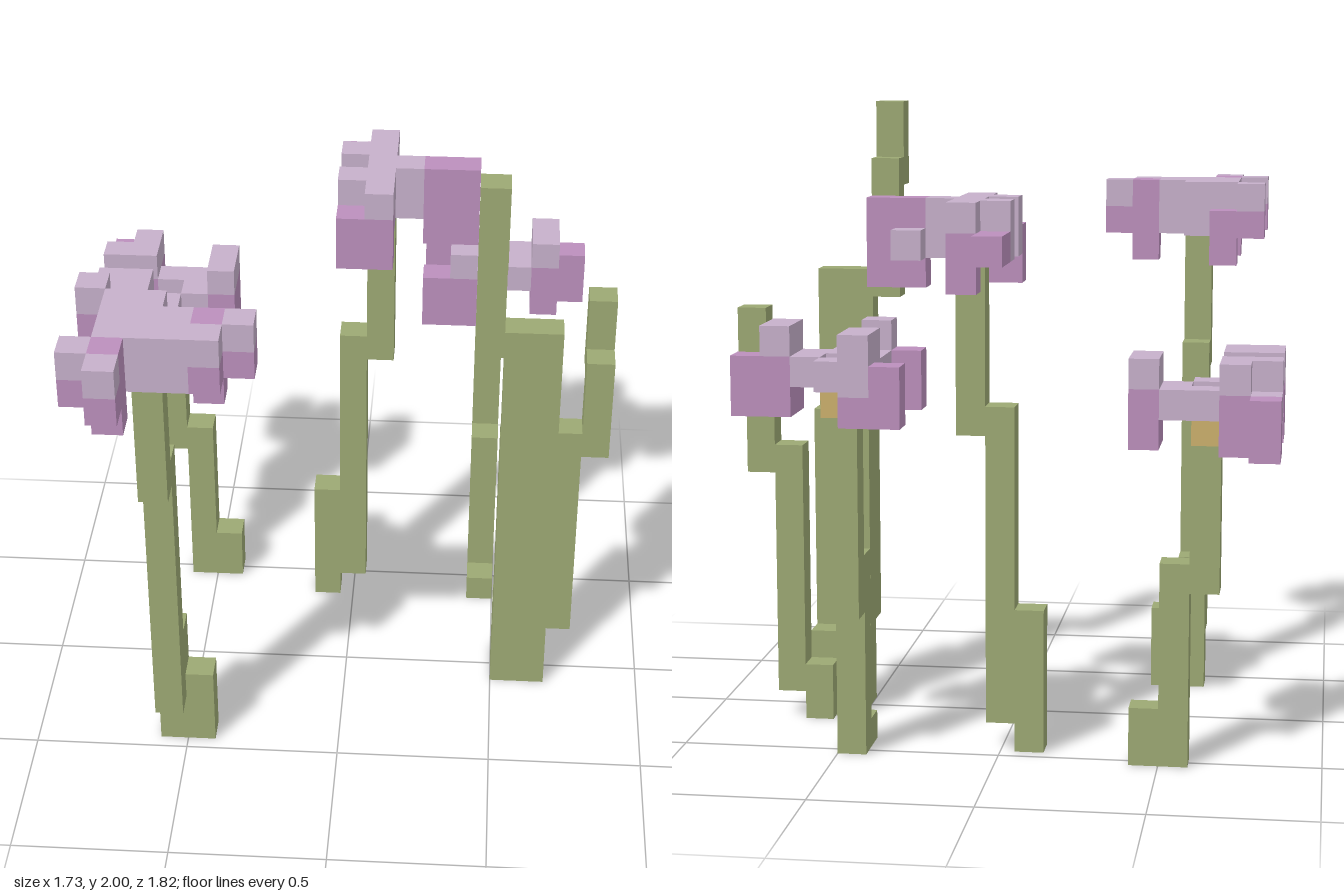
import * as THREE from 'three';
import { mergeGeometries } from 'three/addons/utils/BufferGeometryUtils.js';

const U = 1 / 11; // edge of one cube cell

const materials = {
  stemGreen: new THREE.MeshStandardMaterial({ color: 0x9ca873 }),
  paleMauve: new THREE.MeshStandardMaterial({ color: 0xc6b0ca }),
  deepPink: new THREE.MeshStandardMaterial({ color: 0xbb8fbc }),
  pollenYellow: new THREE.MeshStandardMaterial({ color: 0xcbb06c }),
};
for (const key in materials) materials[key].name = key;

// Box between grid cells: x0, x1, y0, y1, z0, z1
function cellBox([x0, x1, y0, y1, z0, z1]) {
  const g = new THREE.BoxGeometry((x1 - x0) * U, (y1 - y0) * U, (z1 - z0) * U);
  return g.translate(((x0 + x1) / 2 - 9.5) * U, ((y0 + y1) / 2) * U, ((z0 + z1) / 2 - 10) * U);
}

function part(name, material, boxes) {
  const mesh = new THREE.Mesh(mergeGeometries(boxes.map(cellBox)), material);
  mesh.name = name;
  return mesh;
}

// Petal tips are pale above the split height and pink below: x0, x1, z0, z1, bottom, split, top
function plant(name, { stem, pale = [], pink = [], tips = [], heart = [] }) {
  const group = new THREE.Group();
  group.name = name;
  const upper = tips.map(([x0, x1, z0, z1, b, s, t]) => [x0, x1, s, t, z0, z1]);
  const lower = tips.map(([x0, x1, z0, z1, b, s]) => [x0, x1, b, s, z0, z1]);
  group.add(part('stem', materials.stemGreen, stem));
  if (pale.length + upper.length) group.add(part('palePetals', materials.paleMauve, [...pale, ...upper]));
  if (pink.length + lower.length) group.add(part('pinkPetals', materials.deepPink, [...pink, ...lower]));
  if (heart.length) group.add(part('flowerHeart', materials.pollenYellow, heart));
  return group;
}

export function createModel() {
  const model = new THREE.Group();
  model.name = 'flowerPatch';

  model.add(plant('frontRightFlower', {
    stem: [
      [4, 5, 0, 3, 14, 15], [3, 4, 0, 5, 14, 15],
      [3, 4, 2, 13, 15, 16], [3, 4, 12, 17, 16, 17],
    ],
    pale: [[2, 4, 17, 19, 15, 18], [4, 5, 17, 19, 16, 18]],
    pink: [[2, 3, 16, 18, 14, 15], [2, 3, 16, 19, 18, 19], [5, 6, 16, 19, 16, 17]],
    tips: [
      [1, 2, 14, 15, 17, 18, 19], [1, 2, 18, 19, 17, 18, 19], [2, 3, 19, 20, 17, 18, 19],
      [5, 6, 17, 18, 17, 18, 19], [6, 7, 16, 17, 17, 18, 19],
    ],
  }));

  model.add(plant('backRightFlower', {
    stem: [[4, 5, 0, 2, 4, 5], [3, 4, 0, 7, 4, 5], [2, 3, 6, 11, 4, 5]],
    pale: [[2, 4, 12, 13, 3, 4], [3, 4, 12, 13, 4, 5], [2, 3, 11, 13, 5, 6]],
    pink: [[0, 1, 11, 13, 1, 2]],
    tips: [
      [0, 2, 5, 7, 11, 13, 14], [4, 5, 3, 5, 11, 13, 14],
      [0, 1, 2, 3, 11, 12, 13], [1, 2, 2, 3, 11, 13, 14], [0, 2, 3, 4, 12, 13, 14],
    ],
    heart: [[2, 3, 11, 12, 4, 5]],
  }));

  model.add(plant('middleFlower', {
    stem: [[8, 9, 0, 5, 5, 6], [9, 10, 1, 12, 5, 6], [10, 11, 11, 17, 5, 6]],
    pale: [
      [10, 11, 17, 19, 4, 7], [11, 12, 17, 19, 5, 6], [12, 13, 17, 18, 4, 5],
      [9, 10, 17, 19, 4, 5], [9, 10, 17, 19, 6, 7],
    ],
    pink: [[12, 14, 16, 19, 5, 6], [9, 10, 16, 18, 7, 8], [9, 10, 17, 18, 2, 4]],
    tips: [[10, 11, 7, 8, 16, 18, 19], [10, 11, 3, 4, 16, 18, 19]],
  }));

  model.add(plant('backLeftFlower', {
    stem: [[14, 15, 0, 1, 5, 6], [14, 15, 0, 7, 4, 5], [14, 15, 5, 13, 3, 4]],
    pale: [
      [13, 14, 13, 14, 2, 4], [15, 16, 13, 14, 2, 4], [14, 15, 13, 14, 3, 4],
      [14, 15, 13, 14, 1, 2], [14, 15, 12, 14, 4, 5],
    ],
    pink: [[12, 13, 12, 14, 0, 1], [12, 13, 12, 14, 4, 5], [17, 18, 12, 14, 2, 3]],
    tips: [[13, 14, 0, 2, 12, 13, 15], [13, 14, 4, 5, 12, 14, 15], [16, 17, 2, 4, 12, 14, 15]],
    heart: [[14, 15, 12, 13, 2, 3]],
  }));

  // Bare stalk with two rising shoots
  model.add(plant('bareStalk', {
    stem: [
      [15, 17, 0, 11, 10, 11], [15, 16, 3, 16, 11, 12], [16, 17, 10, 16, 11, 12],
      [14, 15, 15, 20, 11, 12], [14, 15, 19, 22, 12, 13],
      [15, 17, 0, 3, 9, 10], [16, 17, 0, 2, 8, 9], [17, 18, 1, 10, 8, 9],
      [18, 19, 9, 13, 8, 9], [18, 19, 12, 15, 7, 8],
    ],
  }));

  return model;
}
